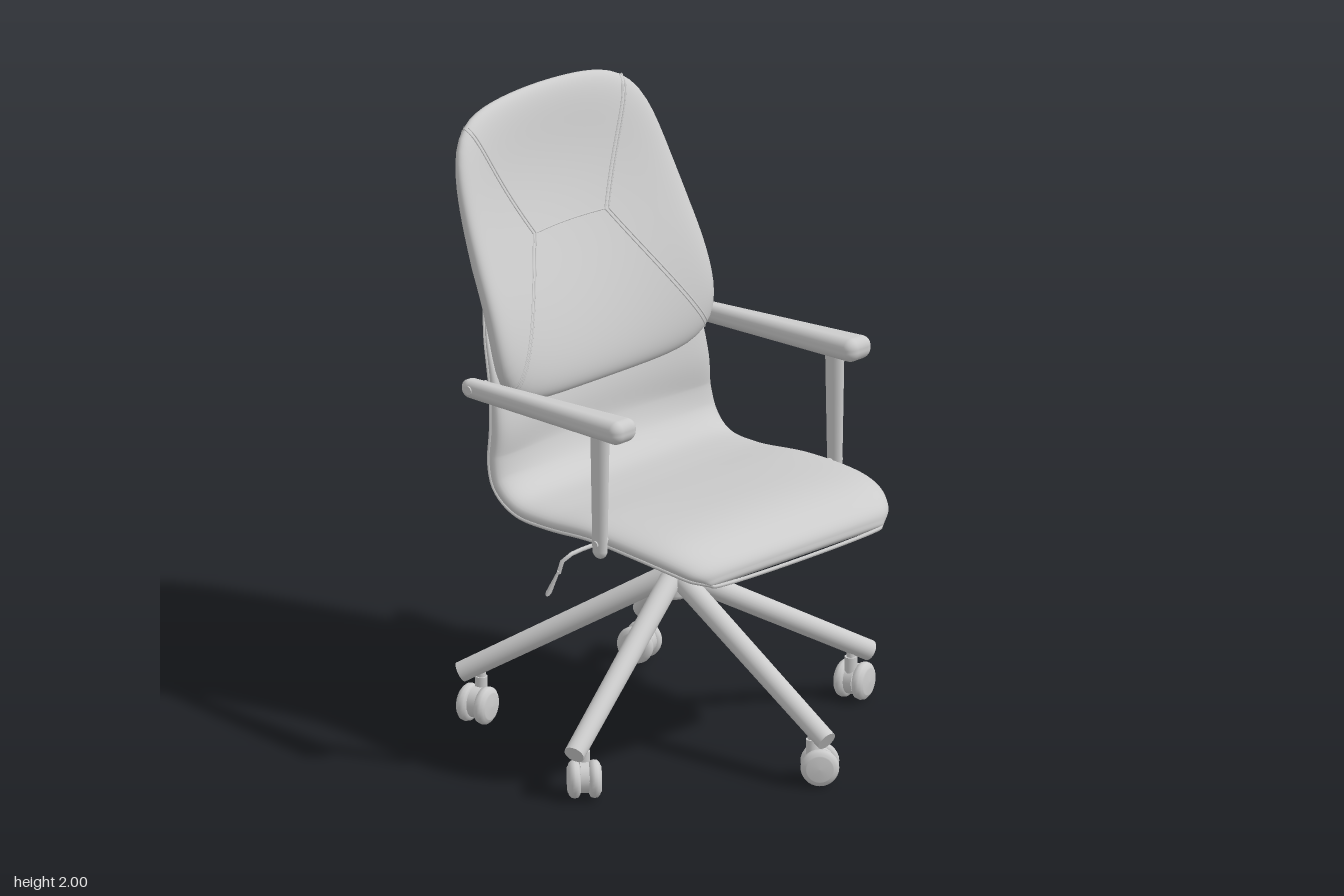
import * as THREE from 'three';
import { mergeVertices } from 'three/addons/utils/BufferGeometryUtils.js';
import { RoundedBoxGeometry } from 'three/addons/geometries/RoundedBoxGeometry.js';
import { ParametricGeometry } from 'three/addons/geometries/ParametricGeometry.js';

const grey = new THREE.MeshStandardMaterial({ color: 0xcccccc });
const V = (x, y, z) => new THREE.Vector3(x, y, z);

function add(parent, name, geometry) {
  const mesh = new THREE.Mesh(geometry, grey);
  mesh.name = name;
  parent.add(mesh);
  return mesh;
}

// Smooth closed surface from a point rule
function surface(rule, nu, nv) {
  const g = new ParametricGeometry((u, v, p) => p.copy(rule(u, v)), nu, nv);
  g.deleteAttribute('normal');
  g.deleteAttribute('uv');
  const merged = mergeVertices(g, 1e-5);
  merged.computeVertexNormals();
  return merged;
}

// Round bar between two points
function rod(parent, name, a, b, ra, rb = ra, sides = 24) {
  const mesh = add(parent, name, new THREE.CylinderGeometry(rb, ra, a.distanceTo(b), sides));
  mesh.position.copy(a).lerp(b, 0.5);
  mesh.quaternion.setFromUnitVectors(V(0, 1, 0), b.clone().sub(a).normalize());
  return mesh;
}

function tube(parent, name, points, r, closed = false) {
  const curve = new THREE.CatmullRomCurve3(points, closed);
  return add(parent, name, new THREE.TubeGeometry(curve, points.length * 2, r, 6, closed));
}

// Seat shell stations, front lip to arch top: half width, y, z, thickness, side lift
const stations = [
  [0.37, 0.737, 0.537, 0, 0], [0.39, 0.75, 0.53, 0.045, 0], [0.435, 0.773, 0.5, 0.085, 0],
  [0.475, 0.803, 0.42, 0.1, 0], [0.492, 0.818, 0.3, 0.095, 0], [0.487, 0.808, 0.1, 0.09, 0.01],
  [0.475, 0.788, -0.1, 0.09, 0.01], [0.475, 0.785, -0.25, 0.1, 0.02], [0.48, 0.835, -0.355, 0.11, 0.04],
  [0.475, 0.93, -0.41, 0.11, 0.06], [0.465, 1.05, -0.425, 0.11, 0.075], [0.45, 1.18, -0.45, 0.08, 0.08],
  [0.41, 1.3, -0.5, 0.05, 0.08], [0.36, 1.4, -0.54, 0.04, 0.08], [0.3, 1.5, -0.58, 0.035, 0.08],
  [0.21, 1.6, -0.62, 0.03, 0.08], [0.13, 1.65, -0.64, 0.03, 0.08], [0, 1.68, -0.652, 0.02, 0.08],
];
const spine = new THREE.CatmullRomCurve3(stations.map(s => V(s[0], s[1], s[2])), false, 'catmullrom');
const depth = new THREE.CatmullRomCurve3(stations.map(s => V(s[3], s[4], 0)), false, 'catmullrom');

// Point on the shell: X across (-1..1), side +1 for the sitting face and -1 for the outer face
function shellPoint(X, v, side) {
  const p = spine.getPoint(v), t = spine.getTangent(v), d = depth.getPoint(v);
  const len = Math.hypot(t.y, t.z);
  const h = side * Math.max(d.x, 0) / 2 * Math.sqrt(Math.max(0, 1 - X ** 8));
  const w = Math.max(p.x, 0);
  const off = h + d.y * (X * w) ** 2 / 0.2;
  return V(X * w, p.y - t.z / len * off, p.z + t.y / len * off);
}

function buildSeat(parent) {
  const seat = new THREE.Group();
  seat.name = 'seat';
  parent.add(seat);
  add(seat, 'seatShell', surface((u, v) => {
    const a = -2 * Math.PI * u;
    return shellPoint(Math.cos(a), v, Math.sign(Math.sin(a)));
  }, 72, 108));
  // Piping follows the lower outer edge
  const edge = [];
  for (let i = 0; i <= 60; i++) edge.push(shellPoint(0.985, i / 60, -1));
  for (let i = 59; i >= 0; i--) edge.push(shellPoint(-0.985, i / 60, -1));
  tube(seat, 'shellPiping', edge, 0.007, true);
  const seam = [];
  for (let i = 3; i < 60; i++) seam.push(shellPoint(0, i / 60, -1));
  tube(seat, 'shellSeam', seam, 0.004);
}

// Point on the backrest cushion in normalised coordinates, side +1 front, -1 back
function cushionPoint(X, Y, side) {
  const r = Math.min(1, (X ** 6 + Y ** 6) ** (1 / 6));
  const half = 0.065 - 0.025 * Math.max(0, Y);
  const front = -0.445 - 0.155 * Y - 0.02 * Math.sin(Math.PI * Y) - 0.025 * (1 - Y * Y);
  const z = front - half + (0.11 - 0.065 * Y * Y) * X * X + side * half * Math.sqrt(1 - r ** 8);
  return V(X * (0.46 - 0.035 * Y - 0.02 * Y * Y), 1.545 + 0.455 * Y - 0.03 * Y * X * X, z);
}

function buildBackrest(parent) {
  const back = new THREE.Group();
  back.name = 'backrest';
  parent.add(back);
  add(back, 'backCushion', surface((u, v) => {
    const a = 2 * Math.PI * u, c = Math.cos(a), s = Math.sin(a);
    const r = Math.sin(Math.PI * v) / (c ** 6 + s ** 6) ** (1 / 6);
    return cushionPoint(r * c, r * s, v > 0.5 ? 1 : -1);
  }, 96, 56));
  // Stitched seams: one across the middle, double ones out to the corners
  const seam = (a, b, side) => {
    const pts = [];
    for (let i = 0; i <= 16; i++) {
      const t = i / 16;
      pts.push(cushionPoint(a[0] + (b[0] - a[0]) * t, a[1] + (b[1] - a[1]) * t, side));
    }
    tube(back, 'cushionSeam', pts, 0.003);
  };
  for (const side of [1, -1]) {
    seam([-0.33, 0.09], [0.33, 0.09], side);
    for (const m of [1, -1]) for (const d of [0, 0.03]) {
      seam([m * (0.33 + d), 0.09], [m * (0.81 + d), 0.94], side);
      seam([m * (0.33 + d), 0.09], [m * (0.88 + d), -0.88], side);
    }
  }
}

function buildArm(parent, m) {
  const arm = new THREE.Group();
  arm.name = m > 0 ? 'leftArm' : 'rightArm';
  parent.add(arm);
  // Pad narrows and drops toward the back
  const g = new RoundedBoxGeometry(0.108, 0.078, 0.755, 6, 0.034);
  const p = g.attributes.position;
  for (let i = 0; i < p.count; i++) {
    const t = p.getZ(i) / 0.755 + 0.5;
    p.setXYZ(i, p.getX(i) * (0.4 + 0.6 * t) + m * (0.492 + 0.022 * t),
      p.getY(i) * (0.78 + 0.22 * t) + 1.172 + 0.056 * t, p.getZ(i) - 0.072);
  }
  add(arm, 'armPad', g);
  const post = rod(arm, 'armPost', V(m * 0.514, 0.8, 0.18), V(m * 0.514, 1.21, 0.18), 0.027, 0.035);
  post.scale.x = 0.75;
  const foot = add(arm, 'postFoot', new THREE.SphereGeometry(0.027, 24, 12));
  foot.scale.x = 0.75;
  foot.position.set(m * 0.514, 0.8, 0.18);
  rod(arm, 'postBolt', V(m * 0.46, 0.825, 0.18), V(m * 0.538, 0.825, 0.18), 0.012);
  rod(arm, 'padBolt', V(m * 0.44, 1.175, -0.405), V(m * 0.521, 1.175, -0.405), 0.014);
}

function buildMechanism(parent) {
  const mech = new THREE.Group();
  mech.name = 'mechanism';
  parent.add(mech);
  const side = new THREE.Shape([[0.2, 0.77], [0.13, 0.715], [0.04, 0.695], [-0.06, 0.695], [-0.12, 0.75]]
    .map(q => new THREE.Vector2(-q[0], q[1])));
  const plate = new THREE.ExtrudeGeometry(side, { depth: 0.29, bevelEnabled: false });
  plate.translate(0, 0, -0.145).rotateY(Math.PI / 2);
  add(mech, 'tiltPlate', plate);
  // Tension knob, ribbed neck
  rod(mech, 'knobNeck', V(0, 0.74, 0.13), V(0, 0.65, 0.152), 0.043);
  for (let i = 0; i < 16; i++) {
    const a = i / 16 * Math.PI * 2, x = Math.cos(a) * 0.043, z = Math.sin(a) * 0.043;
    rod(mech, 'knobRib', V(x, 0.73, 0.132 + z), V(x, 0.65, 0.152 + z), 0.005, 0.005, 6);
  }
  rod(mech, 'knob', V(0, 0.665, 0.149), V(0, 0.58, 0.17), 0.05, 0.047);
  // Height lever with flat paddle
  tube(mech, 'leverRod', [V(-0.1, 0.715, -0.03), V(-0.3, 0.712, -0.03), V(-0.43, 0.708, -0.03),
    V(-0.465, 0.695, -0.035), V(-0.475, 0.65, -0.045)], 0.007);
  const paddle = rod(mech, 'leverPaddle', V(-0.473, 0.66, -0.045), V(-0.483, 0.58, -0.08), 0.013, 0.031);
  paddle.scale.z = 0.28;
  // Gas column and hub
  const profile = [[0, 0.455], [0.035, 0.455], [0.045, 0.47], [0.045, 0.585], [0.025, 0.585], [0.025, 0.645],
    [0.03, 0.655], [0.045, 0.68], [0.045, 0.7], [0, 0.7]].map(q => new THREE.Vector2(q[0], q[1]));
  add(mech, 'gasColumn', new THREE.LatheGeometry(profile, 32)).position.z = -0.01;
}

function buildBase(parent) {
  const base = new THREE.Group();
  base.name = 'base';
  base.position.z = -0.01;
  parent.add(base);
  const wheelProfile = [[0, -0.02], [0.045, -0.018], [0.058, -0.012], [0.061, 0], [0.059, 0.01], [0.05, 0.018],
    [0.045, 0.018], [0.042, 0.022], [0, 0.024]].map(q => new THREE.Vector2(q[0], q[1]));
  const yaws = [0.8, 1.9, 3.5, -1.3, -0.7];
  yaws.forEach((yaw, i) => {
    const a = i * Math.PI * 0.4, s = Math.sin(a), c = Math.cos(a);
    const leg = new THREE.Group();
    leg.name = 'baseLeg' + (i + 1);
    base.add(leg);
    rod(leg, 'legBar', V(0.01 * s, 0.53, 0.01 * c), V(0.68 * s, 0.155, 0.68 * c), 0.036, 0.033);
    rod(leg, 'casterStem', V(0.615 * s, 0.06, 0.615 * c), V(0.615 * s, 0.185, 0.615 * c), 0.014);
    // Twin-wheel caster turned to its own heading
    const caster = new THREE.Group();
    caster.name = 'caster';
    caster.position.set(0.615 * s, 0.061, 0.615 * c);
    caster.rotation.y = yaw;
    leg.add(caster);
    for (const m of [1, -1]) {
      const wheel = add(caster, 'wheel', new THREE.LatheGeometry(wheelProfile, 28));
      wheel.rotation.z = -m * Math.PI / 2;
      wheel.position.set(m * 0.031, 0, 0.024);
    }
    rod(caster, 'casterBody', V(-0.014, 0.004, 0.02), V(0.014, 0.004, 0.02), 0.05);
    rod(caster, 'casterCollar', V(0, 0.03, 0), V(0, 0.085, 0), 0.02);
  });
}

export function createModel() {
  const chair = new THREE.Group();
  chair.name = 'officeChair';
  buildSeat(chair);
  buildBackrest(chair);
  buildArm(chair, 1);
  buildArm(chair, -1);
  buildMechanism(chair);
  buildBase(chair);
  return chair;
}
